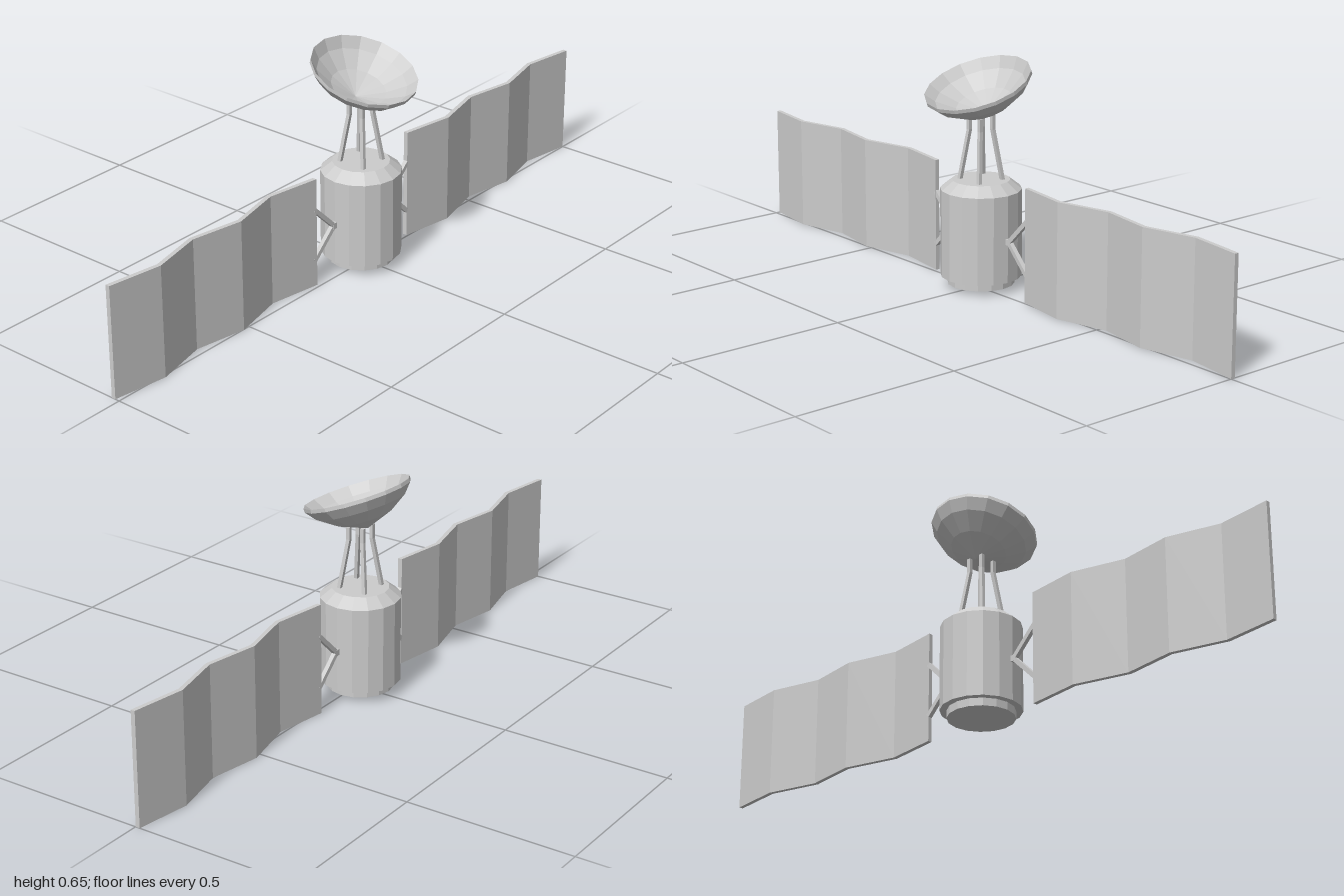
import * as THREE from 'three';

const AXIS_Z = -0.0135; // z of the body's vertical axis
const SIDES = 16;

const flat = new THREE.MeshStandardMaterial({ color: 0xcccccc, flatShading: true });

function add(parent, name, geometry) {
  const mesh = new THREE.Mesh(geometry, flat);
  mesh.name = name;
  parent.add(mesh);
  return mesh;
}

function lathe(points) {
  return new THREE.LatheGeometry(points.map(([r, y]) => new THREE.Vector2(r, y)), SIDES);
}

// Square bar from a to b
function bar(parent, name, a, b, width) {
  const from = new THREE.Vector3(...a), to = new THREE.Vector3(...b);
  const dir = to.clone().sub(from);
  const mesh = add(parent, name, new THREE.BoxGeometry(width, dir.length(), width));
  mesh.position.copy(from).add(to).multiplyScalar(0.5);
  mesh.quaternion.setFromUnitVectors(new THREE.Vector3(0, 1, 0), dir.normalize());
  return mesh;
}

// Dish leg: a box whose rows are moved to lean inwards, then rise straight
function legGeometry(sx, sz) {
  const g = new THREE.BoxGeometry(0.011, 2, 0.011, 1, 2, 1);
  const rows = [[0.043, 0.314], [0.0235, 0.463], [0.0235, sz > 0 ? 0.5 : 0.505]];
  const p = g.attributes.position;
  for (let i = 0; i < p.count; i++) {
    const [offset, y] = rows[Math.round(p.getY(i)) + 1];
    p.setXYZ(i, p.getX(i) + sx * offset, y, p.getZ(i) + sz * offset);
  }
  g.computeVertexNormals();
  return g;
}

// Folded solar panel: a zigzag strip extruded upwards
function panelGeometry() {
  const fold = [[0.2, 0.0025], [0.362, 0.0285], [0.522, -0.009], [0.68, 0.0185], [0.838, -0.0175], [1, 0.0065]];
  const t = 0.0065;
  const outline = [
    ...fold.map(([x, z]) => new THREE.Vector2(x, -z - t)),
    ...fold.map(([x, z]) => new THREE.Vector2(x, -z + t)).reverse(),
  ];
  const g = new THREE.ExtrudeGeometry(new THREE.Shape(outline), { depth: 0.333, bevelEnabled: false });
  return g.rotateX(-Math.PI / 2);
}

export function createModel() {
  const model = new THREE.Group();
  model.name = 'satellite';

  const craft = new THREE.Group();
  craft.name = 'craft';
  craft.position.z = AXIS_Z;
  model.add(craft);

  // Body with stepped base and chamfered top
  add(craft, 'body', lathe([
    [0, 0.013], [0.097, 0.013], [0.097, 0.036], [0.117, 0.036],
    [0.117, 0.291], [0.083, 0.318], [0, 0.318],
  ]));

  // Four legs holding the dish
  for (const sx of [-1, 1]) {
    for (const sz of [-1, 1]) add(craft, 'dishLeg', legGeometry(sx, sz));
  }

  // Two wings, one turned half round
  for (const [name, turn] of [['leftWing', 0], ['rightWing', Math.PI]]) {
    const wing = new THREE.Group();
    wing.name = name;
    wing.rotation.y = turn;
    craft.add(wing);
    add(wing, 'solarPanel', panelGeometry());
    add(wing, 'wingMount', new THREE.BoxGeometry(0.025, 0.018, 0.014)).position.set(0.12, 0.158, 0);
    for (const s of [-1, 1]) {
      bar(wing, 'wingArm', [0.124, 0.158, 0], [0.205, 0.158 + s * 0.08, 0.003], 0.013);
    }
  }

  // Tilted dish: outer bowl up to the rim, then the inner bowl back down
  const bowl = [[0, -0.097], [0.081, -0.064], [0.132, -0.029], [0.156, 0]];
  const dish = add(model, 'dish', lathe([
    ...bowl.map(([r, y]) => [r, y - 0.011]),
    ...bowl.reverse(),
  ]));
  dish.position.set(0, 0.6, 0);
  dish.rotation.x = THREE.MathUtils.degToRad(20.4);

  return model;
}
